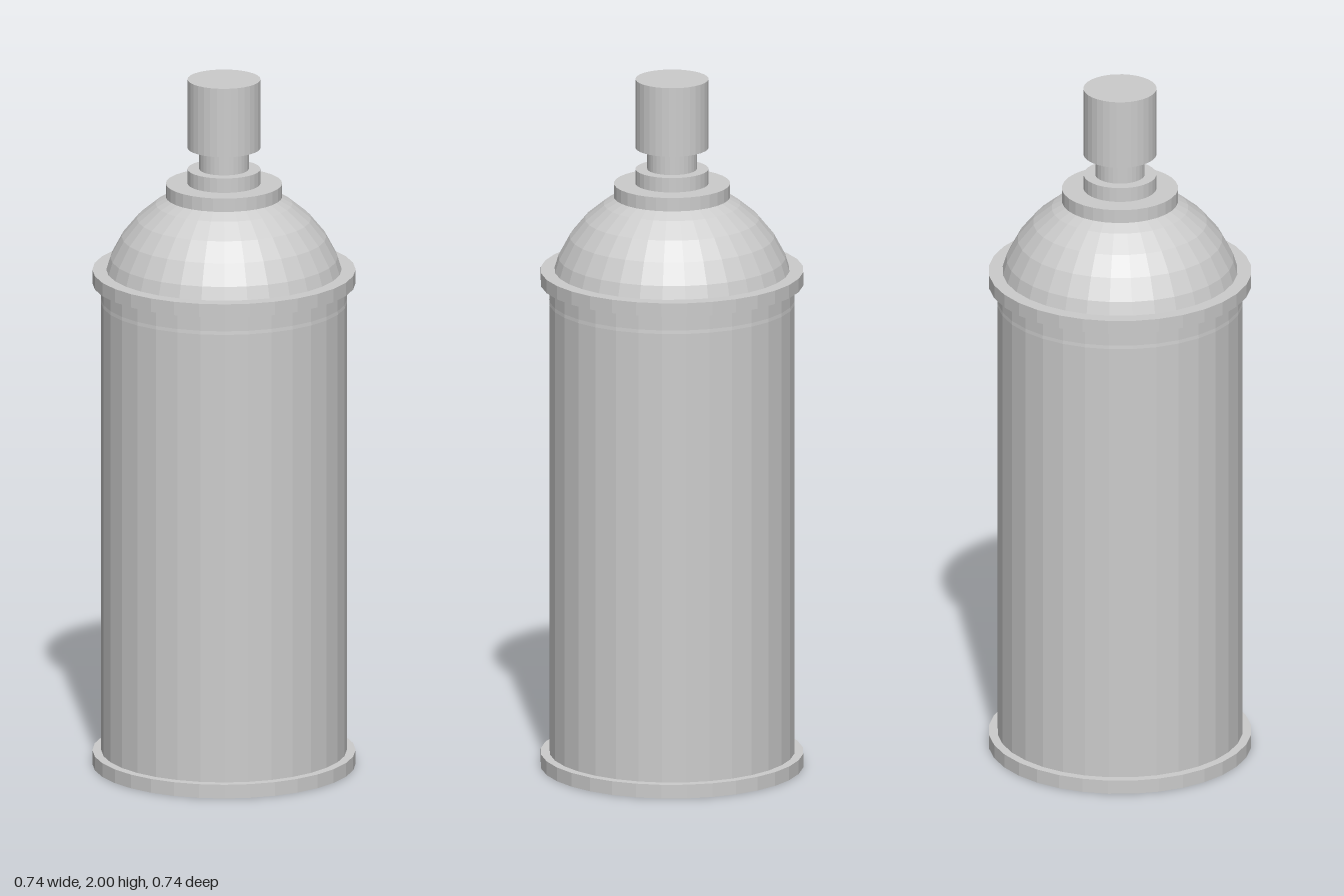
import * as THREE from 'three';

const SIDES = 32;

export function createModel() {
  const model = new THREE.Group();
  model.name = 'sprayCan';

  const metal = new THREE.MeshStandardMaterial({ color: 0xcccccc, flatShading: true });
  metal.name = 'plain grey';

  const add = (name, geometry, y) => {
    const mesh = new THREE.Mesh(geometry, metal);
    mesh.name = name;
    mesh.position.y = y;
    model.add(mesh);
  };

  // Stacked round parts: name, radius, bottom, top
  const discs = [
    ['bottomRim', 0.371, 0, 0.04],
    ['body', 0.346, 0.04, 1.405],
    ['topRim', 0.371, 1.405, 1.444],
    ['valveCup', 0.164, 1.657, 1.696],
    ['valveSeat', 0.103, 1.696, 1.738],
    ['valveStem', 0.07, 1.738, 1.8],
    ['sprayNozzle', 0.103, 1.8, 2],
  ];
  for (const [name, radius, bottom, top] of discs) {
    add(name, new THREE.CylinderGeometry(radius, radius, top - bottom, SIDES), (bottom + top) / 2);
  }

  // Domed shoulder, rising out of the top rim into the valve cup
  const dome = new THREE.SphereGeometry(0.347, SIDES, 8, 0, Math.PI * 2, 0, Math.PI / 2);
  add('shoulderDome', dome, 1.348);

  return model;
}
